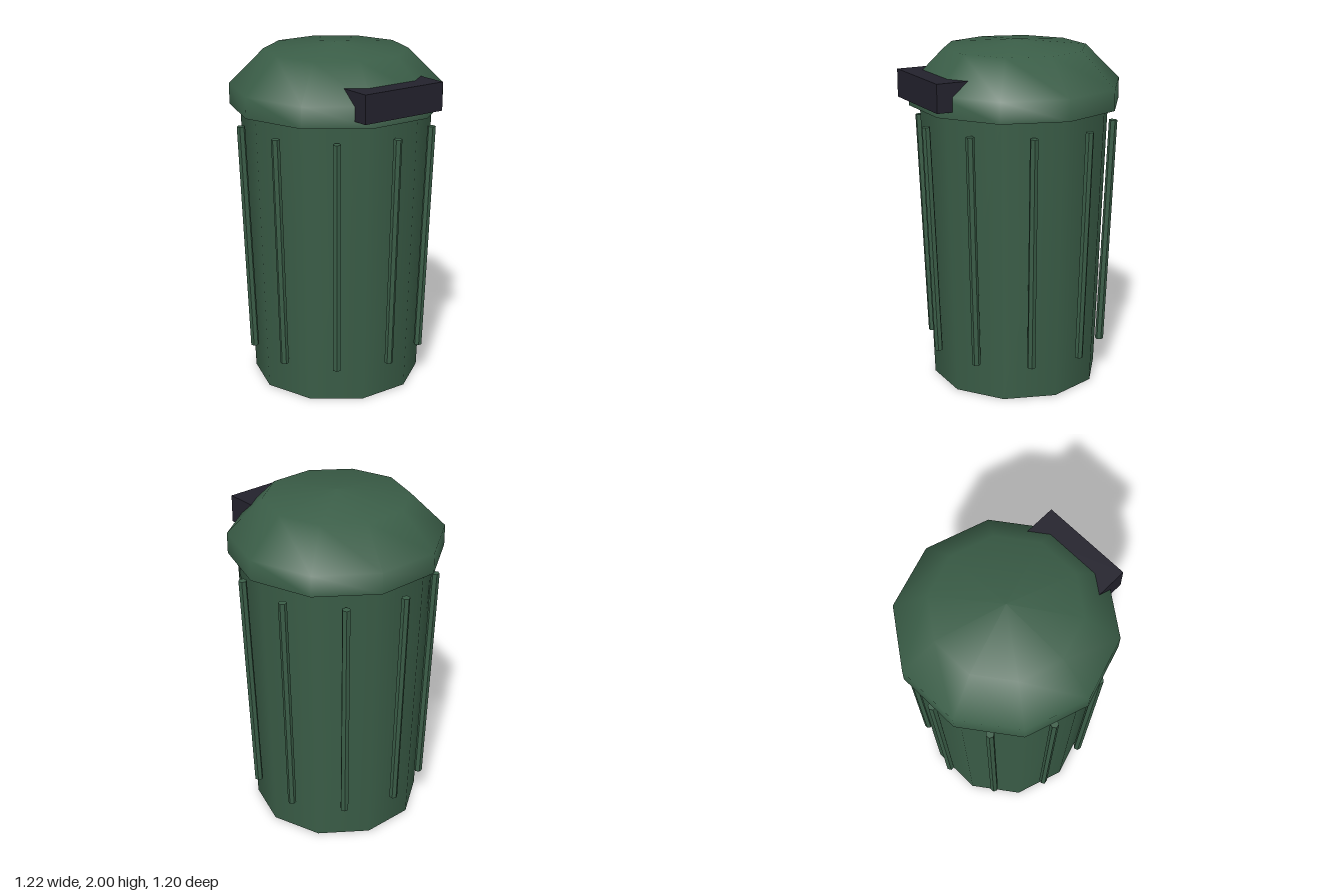
import * as THREE from 'three';

const SIDES = 10;
const TURN = Math.PI / SIDES; // puts a flat side at the front

export function createModel() {
  const green = new THREE.MeshStandardMaterial({ color: 0x3a5d47 });
  green.name = 'bin green';
  const dark = new THREE.MeshStandardMaterial({ color: 0x23222d });
  dark.name = 'handle charcoal';

  const model = new THREE.Group();
  model.name = 'trashBin';
  const add = (name, geometry, material, parent) => {
    const mesh = new THREE.Mesh(geometry, material);
    mesh.name = name;
    parent.add(mesh);
    return mesh;
  };

  // Round parts share an axis set slightly back to make room for the handle
  const bin = new THREE.Group();
  bin.name = 'bin';
  bin.position.z = -0.015;
  model.add(bin);

  // Tapered body
  const body = add('body', new THREE.CylinderGeometry(0.55, 0.49, 1.66, SIDES, 1, false, TURN), green, bin);
  body.position.y = 0.83;

  // Domed lid with an upright rim
  const profile = [[0.61, 1.64], [0.61, 1.76], [0.41, 1.96], [0, 2]].map(([r, y]) => new THREE.Vector2(r, y));
  add('lid', new THREE.LatheGeometry(profile, SIDES, TURN, Math.PI * 2), green, bin);
  const underside = add('lidUnderside', new THREE.CircleGeometry(0.61, SIDES), green, bin);
  underside.rotation.x = Math.PI / 2;
  underside.position.y = 1.64;

  // Slim ribs, one in front of each flat side, leaning with the body
  const low = new THREE.Vector2(0.51, 0.205);
  const high = new THREE.Vector2(0.563, 1.55);
  const ribGeometry = new THREE.CylinderGeometry(0.024, 0.024, low.distanceTo(high), 6).toNonIndexed();
  ribGeometry.computeVertexNormals();
  for (let i = 0; i < SIDES; i++) {
    const pivot = new THREE.Group();
    pivot.name = 'ribPivot';
    pivot.rotation.y = i * 2 * TURN;
    bin.add(pivot);
    const rib = add('rib', ribGeometry, green, pivot);
    rib.position.set(0, (low.y + high.y) / 2, (low.x + high.x) / 2);
    rib.rotation.x = Math.atan2(high.x - low.x, high.y - low.y);
  }

  // Handle block set into the front of the lid
  const handle = add('handle', new THREE.BoxGeometry(0.53, 0.16, 0.2), dark, model);
  handle.position.set(0, 1.76, 0.5);

  return model;
}
